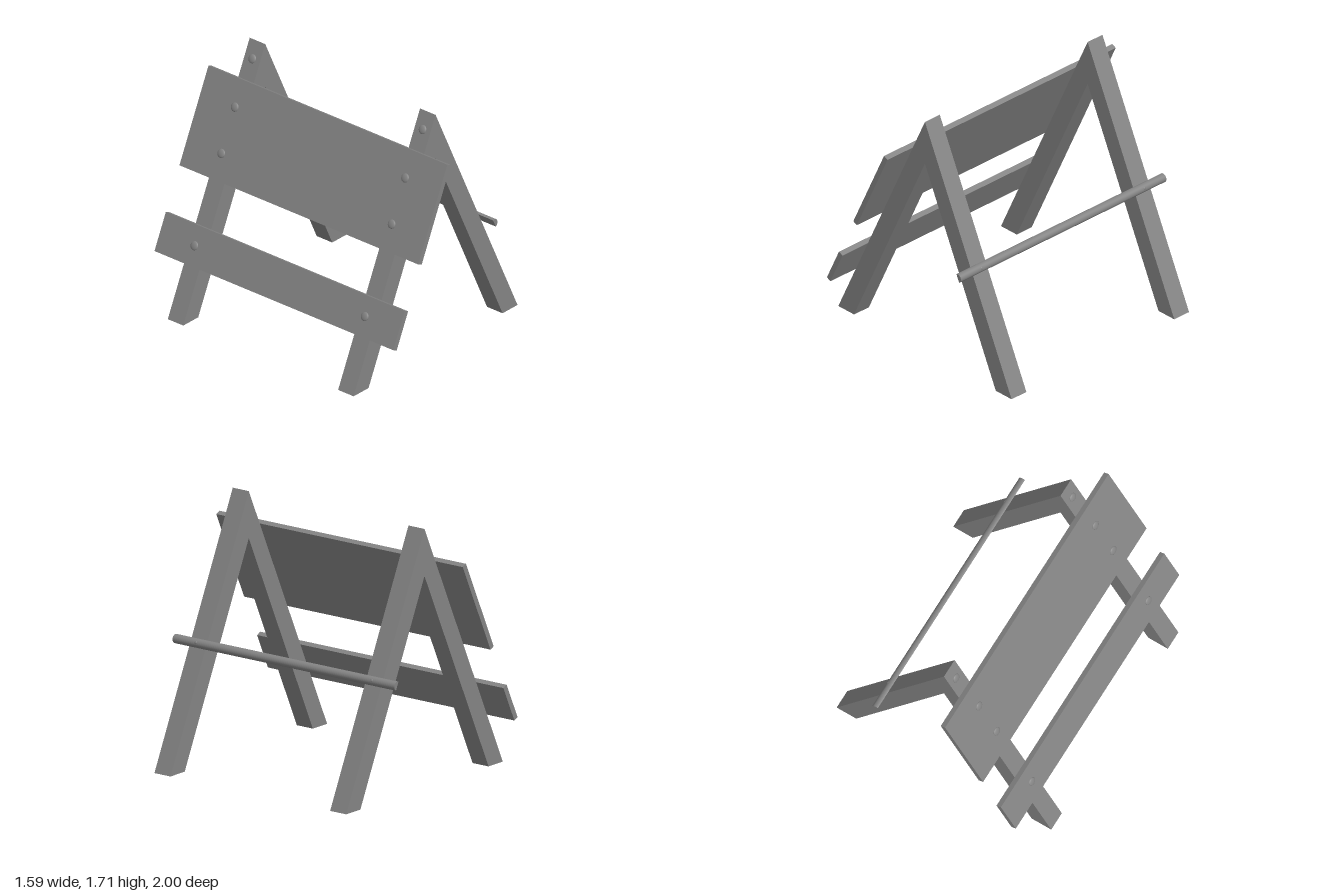
import * as THREE from 'three';

const FOOT = 0.795, APEX = 1.705, SLOPE = THREE.MathUtils.degToRad(25);
const FRAME_Z = 0.713, FRAME_DEPTH = 0.13, BOARD = 0.036;

export function createModel() {
  const model = new THREE.Group();
  const material = new THREE.MeshStandardMaterial({ color: 0x848484 });
  const add = (parent, name, geometry, x = 0, y = 0, z = 0) => {
    const mesh = new THREE.Mesh(geometry, material);
    mesh.name = name;
    mesh.position.set(x, y, z);
    parent.add(mesh);
    return mesh;
  };

  // A-frames: two sloping legs mitred together at the peak
  for (const z of [-FRAME_Z, FRAME_Z]) {
    const frame = new THREE.Group();
    frame.name = z > 0 ? 'frontFrame' : 'backFrame';
    frame.position.z = z;
    for (const s of [-1, 1]) {
      const outline = new THREE.Shape([
        [s * FOOT, 0], [s * 0.65, 0], [0, 1.395], [0, APEX],
      ].map(([x, y]) => new THREE.Vector2(x, y)));
      const leg = new THREE.ExtrudeGeometry(outline, { depth: FRAME_DEPTH, bevelEnabled: false });
      add(frame, s < 0 ? 'rightLeg' : 'leftLeg', leg.translate(0, 0, -FRAME_DEPTH / 2));
    }
    model.add(frame);
  }

  // Sloped faces: local y runs up the outer side of the legs
  const face = (name, side) => {
    const group = new THREE.Group();
    group.name = name;
    group.position.x = side * FOOT;
    group.rotation.z = side * SLOPE;
    model.add(group);
    return group;
  };
  const boardFace = face('boardFace', -1);
  const railFace = face('railFace', 1);

  // Low domed fastener heads, one on each frame
  const domes = (parent, name, side, offset, along, radius, height) => {
    const dome = new THREE.SphereGeometry(radius, 20, 8, 0, Math.PI * 2, 0, Math.PI / 2)
      .scale(1, height / radius, 1).rotateZ(-side * Math.PI / 2);
    for (const z of [-FRAME_Z, FRAME_Z]) add(parent, name, dome, side * offset, along, z);
  };

  // Boards bolted across the frames
  const board = (name, from, to) => add(boardFace, name,
    new THREE.BoxGeometry(BOARD, to - from, 2), -BOARD / 2, (from + to) / 2);
  board('wideBoard', 0.953, 1.62);
  board('narrowBoard', 0.38, 0.642);
  for (const along of [0.511, 1.128, 1.437]) domes(boardFace, 'boardBolt', -1, BOARD, along, 0.03, 0.011);
  domes(boardFace, 'peakBolt', -1, 0, 1.762, 0.03, 0.012);

  // Half-round rail, flat against the opposite legs
  const halfRound = new THREE.Shape().absarc(0, 0, 0.03, -Math.PI / 2, Math.PI / 2, false);
  halfRound.closePath();
  const rail = new THREE.ExtrudeGeometry(halfRound, { depth: 1.8, bevelEnabled: false, curveSegments: 16 });
  add(railFace, 'halfRoundRail', rail.translate(0, 0, -0.9), 0, 0.866);
  domes(railFace, 'railScrew', 1, 0.029, 0.866, 0.01, 0.004);

  return model;
}
